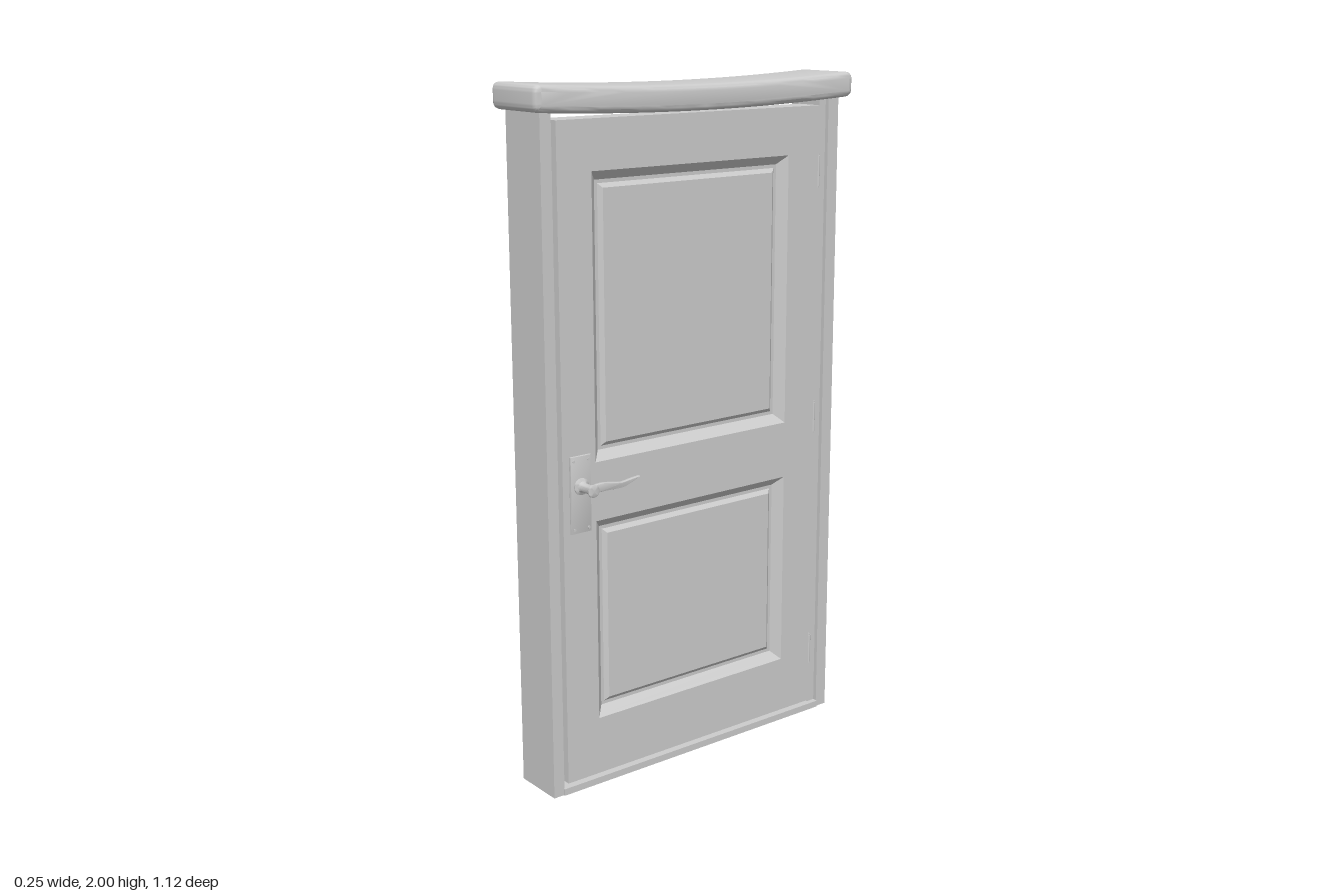
import * as THREE from 'three';
import { toCreasedNormals } from 'three/addons/utils/BufferGeometryUtils.js';

const material = new THREE.MeshStandardMaterial({ color: 0xcccccc });

function add(parent, name, geometry, x = 0, y = 0, z = 0) {
  const mesh = new THREE.Mesh(geometry, material);
  mesh.name = name;
  mesh.position.set(x, y, z);
  parent.add(mesh);
  return mesh;
}

// Box given by its limits on each axis
function block(parent, name, [x0, x1], [y0, y1], [z0, z1]) {
  return add(parent, name, new THREE.BoxGeometry(x1 - x0, y1 - y0, z1 - z0),
    (x0 + x1) / 2, (y0 + y1) / 2, (z0 + z1) / 2);
}

// Extrude a shape drawn in (-z, y) from x0 to x1, with an optional rounded edge
function extrudeX(shape, x0, x1, bevel = 0, steps = 4) {
  const g = new THREE.ExtrudeGeometry(shape, {
    depth: x1 - x0 - 2 * bevel, bevelEnabled: bevel > 0, bevelThickness: bevel,
    bevelSize: bevel, bevelOffset: -bevel, bevelSegments: steps, curveSegments: 8,
  });
  g.translate(0, 0, x0 + bevel).rotateY(Math.PI / 2);
  return toCreasedNormals(g, 0.6);
}

function rectangle(Type, u0, u1, v0, v1) {
  const s = new Type();
  s.moveTo(u0, v0).lineTo(u1, v0).lineTo(u1, v1).lineTo(u0, v1).closePath();
  return s;
}

// Moulded panel facing +x: nested rectangles of [inset, depth], closed by a flat field
function panelGeometry(width, height, profile) {
  const p = [], index = [];
  for (const [inset, depth] of profile) {
    const w = width / 2 - inset, h = height / 2 - inset;
    p.push(-depth, -h, w, -depth, -h, -w, -depth, h, -w, -depth, h, w);
  }
  for (let r = 0; r < profile.length - 1; r++) {
    for (let i = 0; i < 4; i++) {
      const a = r * 4 + i, b = r * 4 + (i + 1) % 4;
      index.push(a, b, b + 4, a, b + 4, a + 4);
    }
  }
  const c = (profile.length - 1) * 4;
  index.push(c, c + 1, c + 2, c, c + 2, c + 3);
  const g = new THREE.BufferGeometry();
  g.setAttribute('position', new THREE.Float32BufferAttribute(p, 3));
  g.setIndex(index);
  const flat = g.toNonIndexed();
  flat.computeVertexNormals();
  return flat;
}

// Lintel outline: rounded ends, top and bottom sagging to the middle
function lintelShape() {
  const half = 0.558, r = 0.022, top = 2.0, bottom = 1.928, sag = 0.017;
  const s = new THREE.Shape();
  const curve = (y, from, to) => {
    for (let i = 0; i <= 24; i++) {
      const u = from + (to - from) * i / 24;
      s.lineTo(u, y - sag * (1 - (u / half) ** 2));
    }
  };
  const e = half - r;
  s.moveTo(-e, bottom - sag * (1 - (e / half) ** 2));
  curve(bottom, -e, e);
  s.quadraticCurveTo(half, bottom, half, bottom + r);
  s.lineTo(half, top - r);
  s.quadraticCurveTo(half, top, e, top - sag * (1 - (e / half) ** 2));
  curve(top, e, -e);
  s.quadraticCurveTo(-half, top, -half, top - r);
  s.lineTo(-half, bottom + r);
  s.quadraticCurveTo(-half, bottom, -e, bottom - sag * (1 - (e / half) ** 2));
  return s;
}

// Thin wavy lever, running away from its pivot at the origin
function leverShape() {
  const s = new THREE.Shape();
  s.moveTo(0, -0.011);
  s.bezierCurveTo(0.04, -0.004, 0.08, -0.012, 0.11, -0.008);
  s.quadraticCurveTo(0.14, 0.002, 0.162, 0.013);
  s.quadraticCurveTo(0.135, 0.012, 0.11, 0.007);
  s.bezierCurveTo(0.08, 0.003, 0.04, 0.026, 0, 0.011);
  return s;
}

// Handle set on one face; side is +1 or -1, x is the face of the door
function handle(side, x) {
  const group = new THREE.Group();
  group.name = side > 0 ? 'frontHandle' : 'backHandle';
  group.position.set(x, 0.91, 0.421);
  const span = (a, b) => [Math.min(a * side, b * side), Math.max(a * side, b * side)];

  const plate = rectangle(THREE.Shape, -0.034, 0.034, -0.135, 0.087);
  add(group, 'handlePlate', extrudeX(plate, ...span(-0.002, 0.008), 0.003, 2));

  const profile = [[0, 0.006], [0.024, 0.006], [0.024, 0.012], [0.016, 0.016], [0.013, 0.022],
    [0.013, 0.05], [0.014, 0.058], [0.018, 0.064], [0.018, 0.069], [0.014, 0.071], [0, 0.071]];
  const spindle = new THREE.LatheGeometry(profile.map(q => new THREE.Vector2(...q)), 24);
  add(group, 'handleSpindle', toCreasedNormals(spindle.rotateZ(-side * Math.PI / 2), 0.6));

  add(group, 'handleLever', extrudeX(leverShape(), ...span(0.051, 0.064), 0.002, 2));

  for (const z of [-0.024, 0.024]) {
    for (const y of [-0.122, 0.074]) {
      const screw = new THREE.CylinderGeometry(0.004, 0.004, 0.004, 12).rotateZ(Math.PI / 2);
      add(group, 'plateScrew', screw, side * 0.008, y, z);
    }
  }
  return group;
}

export function createModel() {
  const model = new THREE.Group();
  model.name = 'door';
  const front = 0.055, back = -0.03;

  // Frame: posts, stepped hinge side, sill and curved lintel
  const frame = new THREE.Group();
  frame.name = 'frame';
  model.add(frame);
  block(frame, 'latchPost', [-0.1, 0.06], [0, 1.94], [0.495, 0.53]);
  block(frame, 'hingePost', [-0.1, 0.06], [0, 1.94], [-0.522, -0.483]);
  block(frame, 'hingeStrip', [-0.03, 0.048], [0.01, 1.93], [-0.484, -0.457]);
  block(frame, 'sill', [-0.108, 0.065], [0, 0.02], [-0.483, 0.497]);
  add(frame, 'lintel', extrudeX(lintelShape(), -0.128, 0.086, 0.018));

  // Door leaf with two openings
  const leaf = new THREE.Group();
  leaf.name = 'leaf';
  model.add(leaf);
  const slab = rectangle(THREE.Shape, -0.477, 0.451, 0.028, 1.905);
  const panels = [
    { name: 'upperPanel', y0: 0.967, y1: 1.767 },
    { name: 'lowerPanel', y0: 0.2, y1: 0.796 },
  ];
  const z0 = -0.334, z1 = 0.366;
  for (const { y0, y1 } of panels) slab.holes.push(rectangle(THREE.Path, -z1, -z0, y0, y1));
  add(leaf, 'slab', extrudeX(slab, back, front));

  // Moulded panels on both faces
  const moulding = [[0, 0], [0.006, 0.006], [0.026, 0.026], [0.036, 0.026], [0.048, 0.016]];
  for (const { name, y0, y1 } of panels) {
    const g = panelGeometry(z1 - z0, y1 - y0, moulding);
    const y = (y0 + y1) / 2, z = (z0 + z1) / 2;
    add(leaf, name + 'Front', g, front, y, z);
    add(leaf, name + 'Back', g, back, y, z).rotation.y = Math.PI;
  }

  // Handles on both faces
  leaf.add(handle(1, front), handle(-1, back));

  // Hinges: knuckle with a pin cap at each end
  for (const y of [0.205, 0.965, 1.715]) {
    const hinge = new THREE.Group();
    hinge.name = 'hinge';
    hinge.position.set(0.051, y, -0.454);
    model.add(hinge);
    add(hinge, 'hingeKnuckle', new THREE.CylinderGeometry(0.006, 0.006, 0.09, 12));
    for (const s of [-1, 1]) {
      add(hinge, 'hingeCap', new THREE.CylinderGeometry(0.004, 0.004, 0.006, 12), 0, s * 0.047, 0);
    }
  }
  return model;
}
